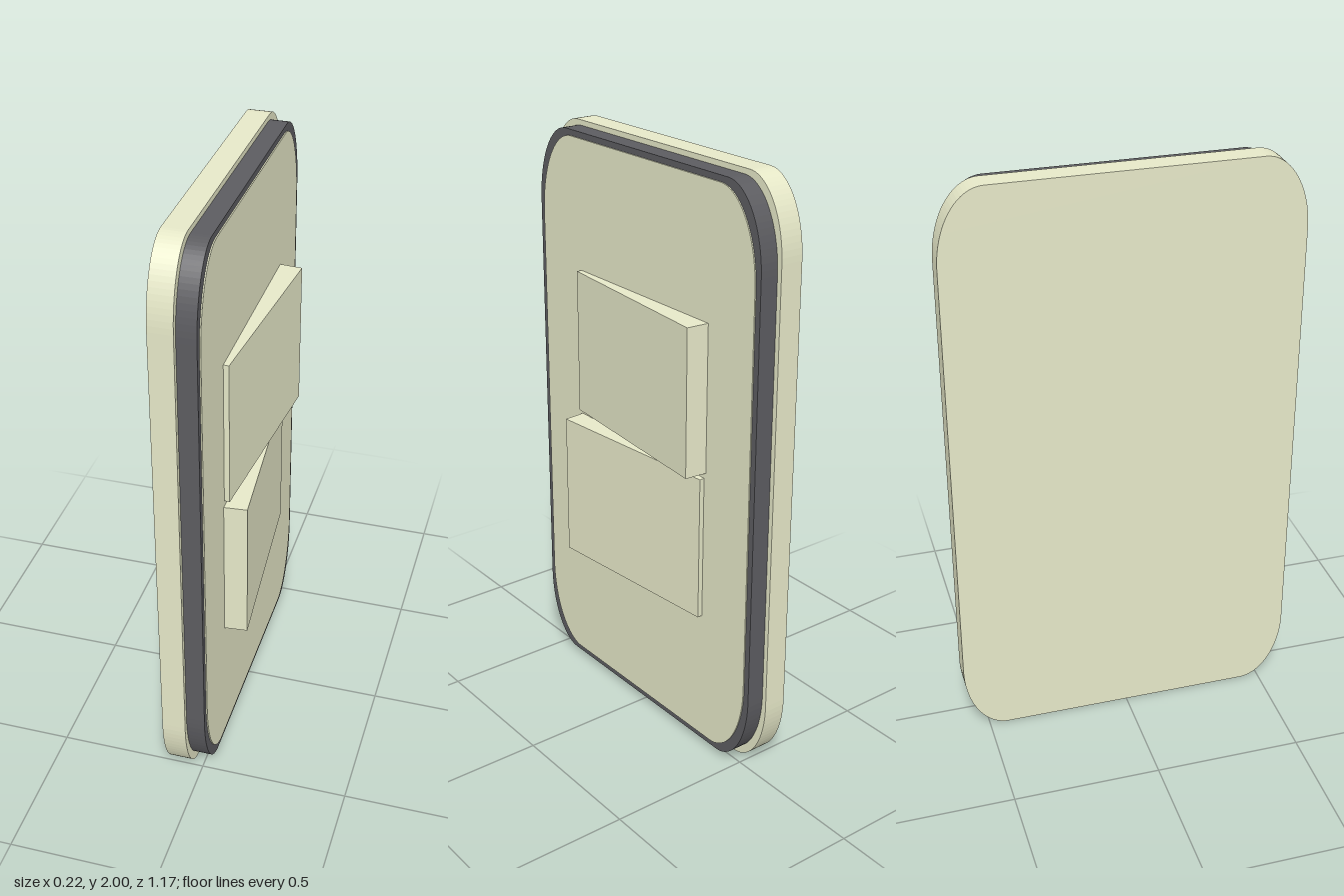
import * as THREE from 'three';

const cream = new THREE.MeshStandardMaterial({ color: 0xe6e8c8 });
const dark = new THREE.MeshStandardMaterial({ color: 0x5c5c60 });

// Upright slab facing +x, with elliptical corners (rz across, ry up)
function slab(name, material, x0, x1, halfZ, halfY, rz, ry) {
  const s = new THREE.Shape();
  const corners = [[1, 1], [-1, 1], [-1, -1], [1, -1]];
  corners.forEach(([sx, sy], i) => {
    const a = i * Math.PI / 2;
    s.absellipse(sx * (halfZ - rz), sy * (halfY - ry), rz, ry, a, a + Math.PI / 2, false, 0);
  });
  const g = new THREE.ExtrudeGeometry(s, { depth: x1 - x0, bevelEnabled: false, curveSegments: 10 });
  g.rotateY(Math.PI / 2);
  const mesh = new THREE.Mesh(g, material);
  mesh.name = name;
  mesh.position.set(x0, 1, 0);
  return mesh;
}

// Tilted block partly sunk into the face plate
function rocker(name, y, tilt) {
  const depth = 0.1;
  const g = new THREE.BoxGeometry(depth, 0.5, 0.664);
  g.translate(-depth / 2, 0, 0);
  const mesh = new THREE.Mesh(g, cream);
  mesh.name = name;
  mesh.position.set(0.081, y, 0);
  mesh.rotation.y = tilt;
  return mesh;
}

export function createModel() {
  const group = new THREE.Group();
  group.name = 'wallSwitch';
  group.add(
    slab('backPlate', cream, -0.111, -0.032, 0.583, 1, 0.15, 0.25),
    slab('darkFrame', dark, -0.032, 0.03, 0.566, 0.982, 0.155, 0.265),
    slab('facePlate', cream, 0, 0.034, 0.545, 0.962, 0.165, 0.285)
  );
  // Two rockers tipped opposite ways
  const tilt = 0.0873;
  group.add(rocker('upperRocker', 1.27, -tilt), rocker('lowerRocker', 0.75, tilt));
  return group;
}
